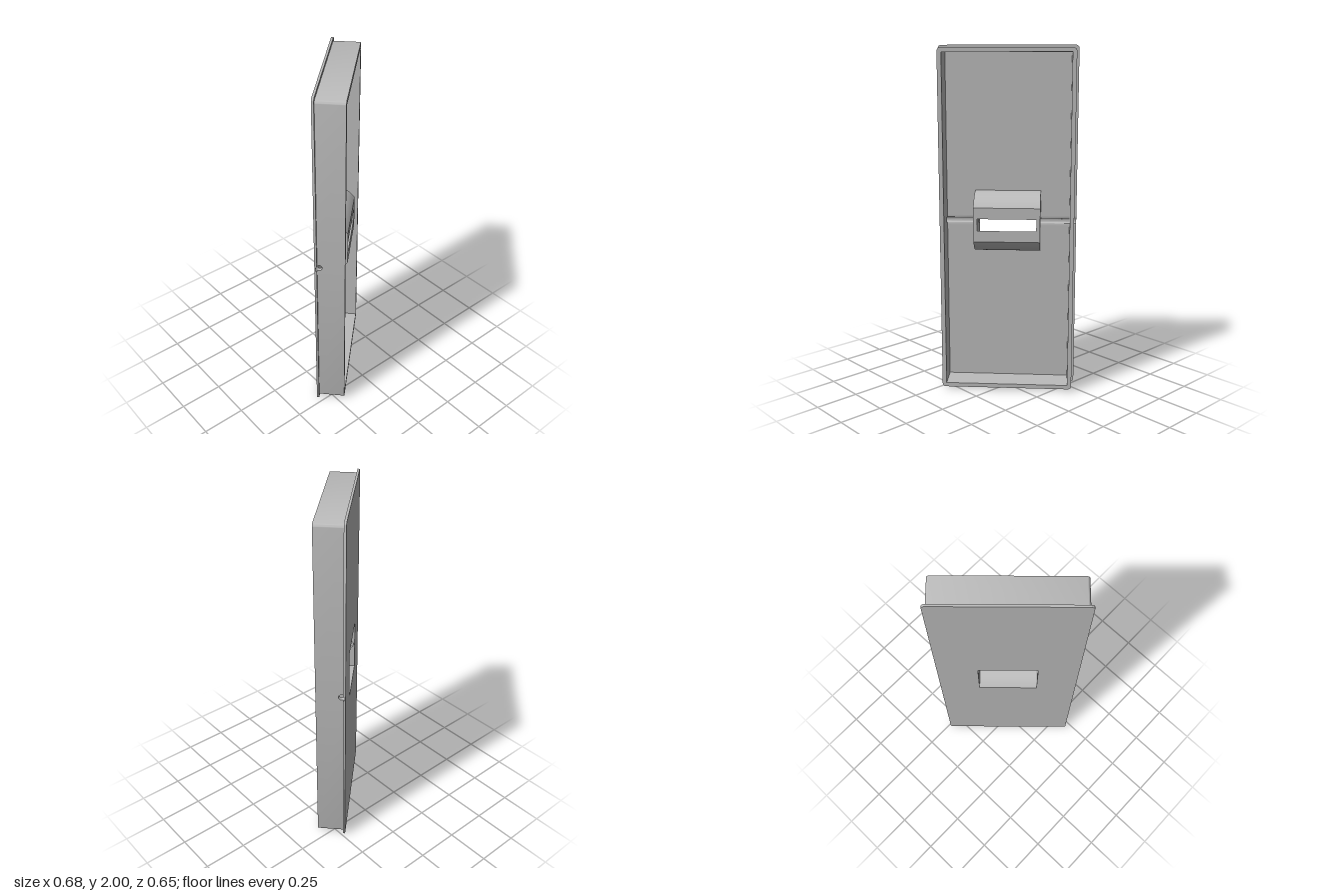
import * as THREE from 'three';
import { toCreasedNormals } from 'three/addons/utils/BufferGeometryUtils.js';

// Depths along the tray's own front axis
const BACK = -0.076, FLOOR = -0.063, RIM = 0.089, FACE = 0.083;
const BAND = 0.03;                        // half height of the strip holding the cable channel
const CABLE = { n: -0.054, r: 0.018 };    // cable channel centre depth and radius
const OUTER_R = 0.176, INNER_R = 0.15;    // housing shell radii
const OPEN_W = 0.168, HOUSE_W = 0.19;     // half widths of cavity and housing

function extrude(shape, depth) {
  const g = new THREE.ExtrudeGeometry(shape, { depth, bevelEnabled: false, curveSegments: 8 });
  return toCreasedNormals(g, 0.6);
}

// Upside-down U lying in the front plane, with rounded outer corners
function archShape(w, h, r, iw, ih) {
  const s = new THREE.Shape();
  s.moveTo(w, BAND);
  s.lineTo(w, h - r);
  s.absarc(w - r, h - r, r, 0, Math.PI / 2, false);
  s.lineTo(-w + r, h);
  s.absarc(-w + r, h - r, r, Math.PI / 2, Math.PI, false);
  s.lineTo(-w, BAND);
  s.lineTo(-iw, BAND);
  s.lineTo(-iw, ih);
  s.lineTo(iw, ih);
  s.lineTo(iw, BAND);
  s.closePath();
  return s;
}

// Points [depth, y] of an arc; angle 0 points up, 90 degrees points forward
function arc(n, r, from, to, steps) {
  return Array.from({ length: steps + 1 }, (_, i) => {
    const a = from + (to - from) * i / steps;
    return [n + r * Math.sin(a), r * Math.cos(a)];
  });
}

// Cross-section of [depth, y] points extruded sideways from u0 to u1
function sideways(points, u0, u1) {
  const shape = new THREE.Shape(points.map(([n, y]) => new THREE.Vector2(-n, y)));
  const g = extrude(shape, u1 - u0);
  g.rotateY(Math.PI / 2);
  g.translate(u0, 0, 0);
  return g;
}

export function createModel() {
  const grey = new THREE.MeshStandardMaterial({ color: 0xbcbcbc });
  grey.name = 'grey';
  const tray = new THREE.Group();
  tray.name = 'tray';
  const add = (name, geometry) => {
    const m = new THREE.Mesh(geometry, grey);
    m.name = name;
    tray.add(m);
    return m;
  };

  // Channel arcs above and below the floor line
  const dip = Math.asin((FLOOR - CABLE.n) / CABLE.r);
  const above = arc(CABLE.n, CABLE.r, dip, Math.PI - dip, 16);
  const below = arc(CABLE.n, CABLE.r, dip, -Math.PI - dip, 10);

  // Housing shell: outer arc, flat face, inner arc that opens into the slot
  const outerEnd = Math.asin((FACE - FLOOR) / OUTER_R);
  const innerEnd = Math.asin((FACE - FLOOR) / INNER_R);
  const outerArc = arc(FLOOR, OUTER_R, 0, outerEnd, 16);
  const shell = [...outerArc, ...arc(FLOOR, INNER_R, innerEnd, 0, 18)];

  // Upper and lower halves are the same parts turned half round
  const plate = extrude(archShape(0.397, 1, 0.02, OPEN_W, INNER_R), FLOOR - BACK);
  plate.translate(0, 0, BACK);
  const frame = extrude(archShape(0.381, 0.985, 0.02, 0.357, 0.961), RIM - FLOOR);
  frame.translate(0, 0, FLOOR);
  const housing = sideways(shell, -OPEN_W, OPEN_W);
  for (const [side, turn] of [['upper', 0], ['lower', Math.PI]]) {
    add(side + 'BackPlate', plate).rotation.z = turn;
    add(side + 'Frame', frame).rotation.z = turn;
    add(side + 'HousingShell', housing).rotation.z = turn;
  }

  // Middle strips and housing ends, pierced by the cable channel
  const strip = [[BACK, BAND], [FLOOR, BAND], ...below, [FLOOR, -BAND], [BACK, -BAND]];
  const wall = [[RIM, BAND], [FLOOR, BAND], ...above, [FLOOR, -BAND], [RIM, -BAND]];
  const lowerArc = outerArc.map(([n, y]) => [n, -y]);
  const end = [...outerArc.slice().reverse(), ...above, ...lowerArc];
  for (const [side, s] of [['left', 1], ['right', -1]]) {
    const span = (points, a, b) => sideways(points, Math.min(s * a, s * b), Math.max(s * a, s * b));
    add(side + 'GroovedPlate', span(strip, OPEN_W, 0.397));
    add(side + 'PiercedWall', span(wall, 0.357, 0.381));
    add(side + 'HousingEnd', span(end, OPEN_W, HOUSE_W));
  }

  // Stand the tray up, turned toward the front left
  tray.position.y = 1;
  tray.rotation.y = 0.757;
  const model = new THREE.Group();
  model.name = 'recessedTray';
  model.add(tray);
  return model;
}
